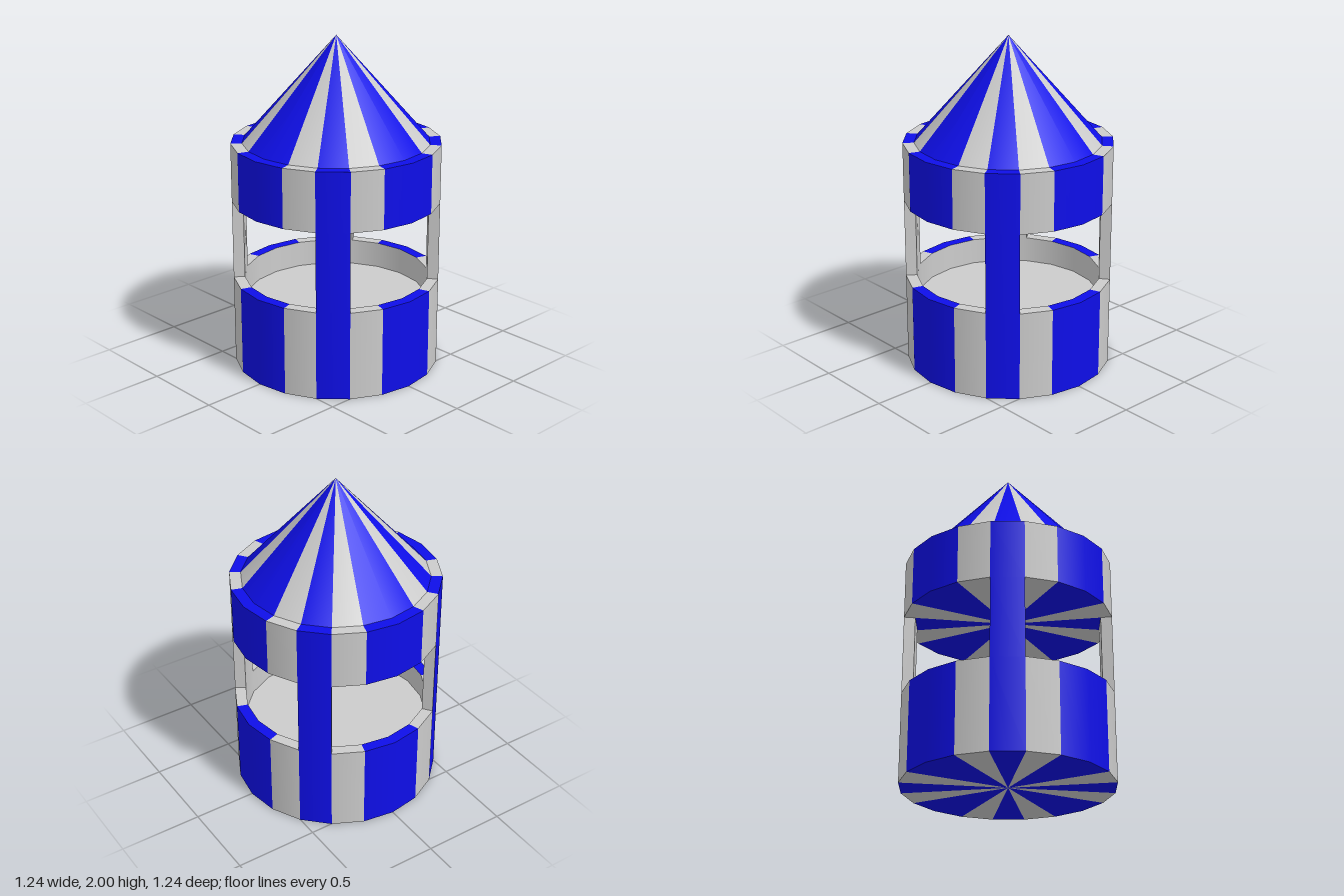
import * as THREE from 'three';
import { mergeGeometries } from 'three/addons/utils/BufferGeometryUtils.js';

const STEP = Math.PI / 10; // 20-sided plan
const R = 0.62, RI = 0.553; // outer and inner radius
const BASE = 0.54, FLOOR = 0.38, CEIL = 1.02, EAVE = 1.375, TOP = 2;

// Stripes of one quarter: [first side, number of sides, is blue]
const STRIPES = [[-1, 2, true], [1, 1, false], [2, 1, true], [3, 1, false]];

export function createModel() {
  const model = new THREE.Group();
  const grey = new THREE.MeshStandardMaterial({ color: 0xcccccc });
  const blue = new THREE.MeshStandardMaterial({ color: 0x0e0ee8 });

  // One straight profile edge swept over some sides; rising edges face outwards
  const sweep = (r0, y0, r1, y1, first = 0, sides = 20) =>
    new THREE.LatheGeometry(
      [new THREE.Vector2(r0, y0), new THREE.Vector2(r1, y1)], sides, first * STEP, sides * STEP);

  const add = (parent, name, geometry, material) => {
    const mesh = new THREE.Mesh(geometry, material);
    mesh.name = name;
    parent.add(mesh);
  };

  // A part whose edges are all striped in two colours
  const striped = (name, edges) => {
    const group = new THREE.Group();
    group.name = name;
    for (const isBlue of [true, false]) {
      const pieces = [];
      for (let q = 0; q < 4; q++)
        for (const [first, sides, b] of STRIPES)
          if (b === isBlue)
            for (const e of edges) pieces.push(sweep(...e, first + q * 5, sides));
      add(group, isBlue ? 'blueStripes' : 'greyStripes', mergeGeometries(pieces), isBlue ? blue : grey);
    }
    model.add(group);
    return group;
  };

  // Lower drum: underside, wall and rim, with a sunken floor inside
  const base = striped('counter', [[0, 0, R, 0], [R, 0, R, BASE], [R, BASE, RI, BASE]]);
  add(base, 'innerWall', sweep(RI, BASE, RI, FLOOR), grey);
  add(base, 'floor', sweep(RI, FLOOR, 0, FLOOR), grey);

  // Upper band with flat ceiling and rim
  striped('canopyBand', [[0, CEIL, R, CEIL], [R, CEIL, R, EAVE], [R, EAVE, RI, EAVE]]);

  // Conical roof
  striped('roof', [[RI, EAVE, 0, TOP]]);

  // Four diagonal posts: blue outside, grey sides and back
  for (let q = 0; q < 4; q++) {
    const first = 2 + q * 5;
    const post = new THREE.Group();
    post.name = 'post';
    add(post, 'postFront', sweep(R, BASE, R, CEIL, first, 1), blue);
    add(post, 'postBack', sweep(RI, CEIL, RI, BASE, first, 1), grey);
    for (const s of [0, 1]) {
      const a = (first + s) * STEP, r = (R + RI) / 2;
      const side = new THREE.PlaneGeometry(R - RI, CEIL - BASE);
      side.rotateY(a + (s ? 1 : -1) * Math.PI / 2);
      side.translate(r * Math.sin(a), (BASE + CEIL) / 2, r * Math.cos(a));
      add(post, 'postSide', side, grey);
    }
    model.add(post);
  }
  return model;
}
